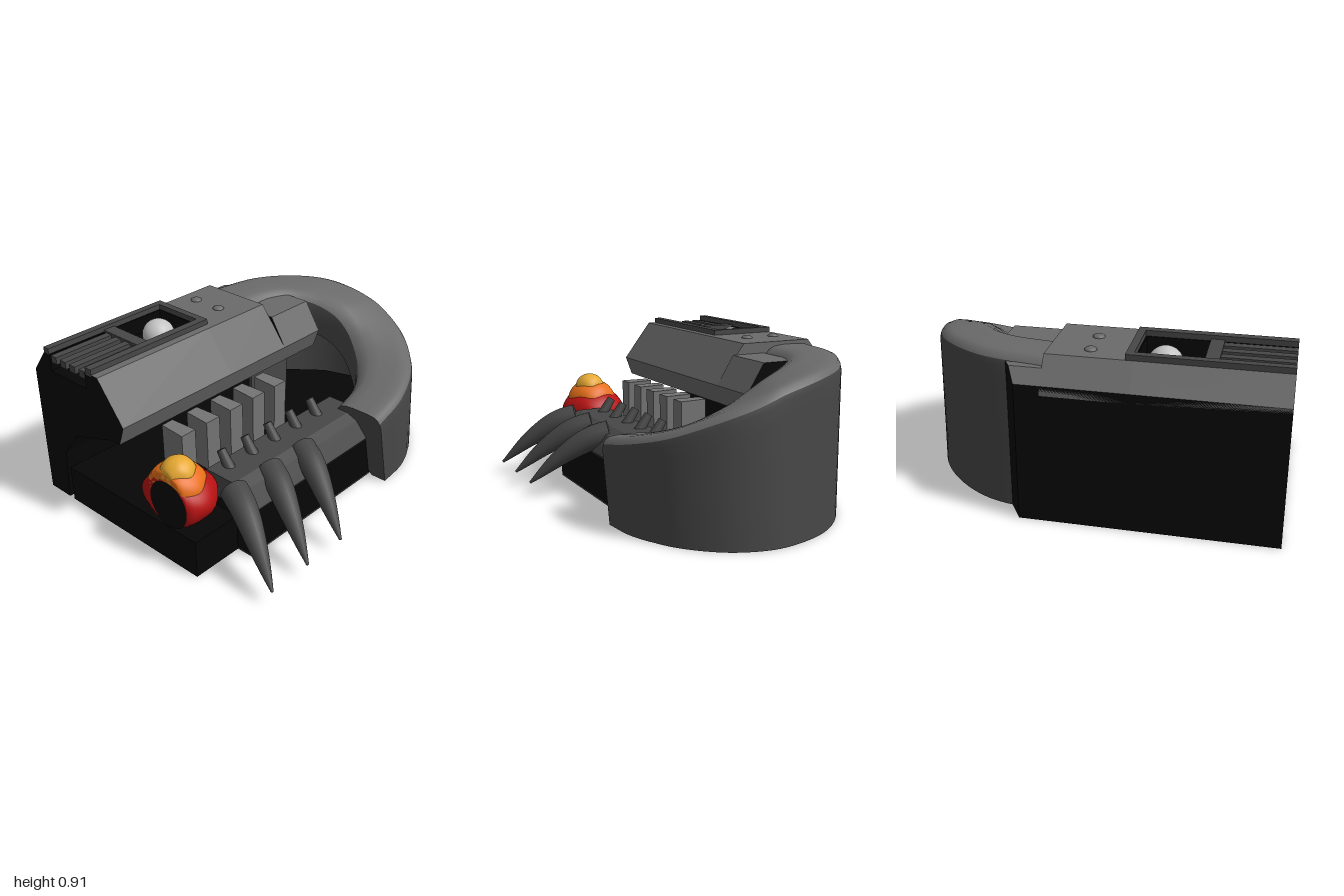
import * as THREE from 'three';

const mat = (name, color, side = THREE.FrontSide) => {
  const m = new THREE.MeshStandardMaterial({ color, side });
  m.name = name;
  return m;
};

export function createModel() {
  const root = new THREE.Group();
  const grey = mat('grey', 0x6a6a6a, THREE.DoubleSide);
  const dark = mat('dark grey', 0x474747, THREE.DoubleSide);
  const tooth = mat('tooth grey', 0x747474);
  const black = mat('black', 0x060606);
  const pale = mat('pale grey', 0xc4c4c4);
  const red = mat('red', 0xb81212);
  const orange = mat('orange', 0xe8701a);
  const yellow = mat('yellow', 0xe6a832);

  const add = (name, geo, material, x = 0, y = 0, z = 0) => {
    const m = new THREE.Mesh(geo, material);
    m.name = name;
    m.position.set(x, y, z);
    root.add(m);
    return m;
  };
  // box given by its limits
  const box = (name, material, x0, x1, y0, y1, z0, z1) =>
    add(name, new THREE.BoxGeometry(x1 - x0, y1 - y0, z1 - z0), material,
      (x0 + x1) / 2, (y0 + y1) / 2, (z0 + z1) / 2);
  // extrude a [z, y] profile along x
  const along = (profile, x0, x1) => {
    const s = new THREE.Shape(profile.map(([z, y]) => new THREE.Vector2(-z, y)));
    const g = new THREE.ExtrudeGeometry(s, { depth: x1 - x0, bevelEnabled: false });
    return g.rotateY(Math.PI / 2).translate(x0, 0, 0);
  };
  // raise an [x, z] plan from the ground
  const raise = (plan, height) => {
    const s = new THREE.Shape(plan.map(([x, z]) => new THREE.Vector2(x, -z)));
    return new THREE.ExtrudeGeometry(s, { depth: height, bevelEnabled: false }).rotateX(-Math.PI / 2);
  };

  // upper housing in three lengths, the first with an open channel
  const front = [[-0.1, 0.66], [-0.14, 0.55]];
  const under = [...front, [-0.7, 0.55], [-0.8, 0.7], [-0.8, 0.75]];
  add('channelHousing', along([...under, [-0.7, 0.88], [-0.66, 0.88], [-0.66, 0.78],
    [-0.36, 0.78], [-0.36, 0.88], [-0.27, 0.88]], -1, -0.24), [black, grey]);
  add('deckHousing', along([...under, [-0.7, 0.88], [-0.27, 0.88]], -0.24, 0.2), grey);
  add('steppedHousing', along([...front, [-0.4, 0.55], [-0.4, 0.82], [-0.2, 0.82]], 0.2, 0.51),
    [black, grey]);

  // rear bevel beyond the deck, with its far end cut at an angle
  const bevel = along([[-0.8, 0.75], [-0.74, 0.82], [-0.69, 0.82], [-0.69, 0.75]], 0.2, 0.4);
  const bp = bevel.attributes.position;
  for (let i = 0; i < bp.count; i++) {
    if (bp.getX(i) > 0.3) bp.setX(i, 0.33 + (bp.getZ(i) + 0.8) * 0.64);
  }
  bevel.computeVertexNormals();
  add('rearBevel', bevel, [black, grey]);

  // rear wall and throat
  add('rearWall', raise([[-1, -0.8], [0.33, -0.8], [0.4, -0.69], [0.4, -0.64], [-1, -0.64]], 0.75), black);
  add('throat', along([[-0.66, 0.02], [-0.64, 0.02], [-0.62, 0.3], [-0.5, 0.45], [-0.2, 0.55],
    [-0.66, 0.6]], -1, 0.4), black);
  box('innerPanel', dark, 0.13, 0.45, 0.2, 0.52, -0.32, -0.3);

  // channel lining, rim, grille bars and lamp
  box('channelFloor', black, -1, -0.24, 0.78, 0.786, -0.66, -0.36);
  for (const z of [-0.66, -0.366]) box('channelLining', black, -1, -0.24, 0.78, 0.88, z, z + 0.006);
  box('channelLining', black, -0.246, -0.24, 0.78, 0.88, -0.66, -0.36);
  box('channelRim', dark, -1, -0.2, 0.87, 0.91, -0.7, -0.66);
  box('channelRim', dark, -1, -0.2, 0.87, 0.91, -0.36, -0.315);
  box('channelRim', dark, -0.24, -0.2, 0.87, 0.91, -0.66, -0.36);
  box('channelDivider', dark, -0.64, -0.57, 0.78, 0.89, -0.66, -0.36);
  for (let i = 0; i < 4; i++) {
    const z = -0.62 + i * 0.076;
    box('grilleBar', dark, -1, -0.64, 0.84, 0.88, z - 0.022, z + 0.022);
  }
  add('lamp', new THREE.SphereGeometry(0.09, 32, 20), pale, -0.37, 0.81, -0.53);
  for (const z of [-0.6, -0.42]) {
    add('bolt', new THREE.SphereGeometry(0.032, 20, 12).scale(1, 0.5, 1), grey, -0.01, 0.88, z);
  }

  // curved fender swept between an outer and an inner plan curve
  const outer = [[0.2, 0.59], [0.47, 0.56], [0.725, 0.46], [0.91, 0.28], [0.985, 0.11],
    [0.997, -0.04], [0.92, -0.3], [0.765, -0.5], [0.54, -0.65], [0.2, -0.72]];
  const inner = [[0.2, 0.28], [0.4, 0.25], [0.53, 0.17], [0.6, 0.07], [0.62, 0],
    [0.62, -0.08], [0.58, -0.22], [0.5, -0.32], [0.38, -0.38], [0.2, -0.4]];
  const crown = [0.45, 0.5, 0.565, 0.655, 0.72, 0.775, 0.83, 0.85, 0.86, 0.86];
  const curve = pts => new THREE.CatmullRomCurve3(
    pts.map(([x, z], i) => new THREE.Vector3(x, crown[i], z)));
  const co = curve(outer), ci = curve(inner);
  // [fraction inward, drop below the crown]; null reaches the ground
  const section = [[0.3, null], [0, null], [0, 0.3], [0, 0.15], [0, 0.07], [0.02, 0.04],
    [0.07, 0.015], [0.16, 0.003], [0.3, 0], [0.6, 0], [0.78, 0.006], [0.9, 0.025], [0.97, 0.055],
    [1, 0.1], [1, 0.16], [1, 0.24]];
  const steps = 54, clamp = THREE.MathUtils.clamp;
  const ring = i => {
    const a = co.getPoint(i / steps), b = ci.getPoint(i / steps);
    return section.flatMap(([t, d]) => {
      const y = d === null ? 0 : a.y - d, k = y / a.y, p = a.clone().lerp(b, t);
      const lean = 0.055 * k * (1 - t) * clamp((p.x - 0.2) / 0.8, 0, 1) * clamp((p.z + 0.45) / 0.4, 0, 1);
      const rake = 0.09 * (1 - k) * Math.max(0, 1 - i / 10);
      return [p.x - lean + rake, y, p.z];
    });
  };
  const rings = Array.from({ length: steps + 1 }, (_, i) => ring(i));
  const surface = (name, pos, idx, m) => {
    const g = new THREE.BufferGeometry();
    g.setAttribute('position', new THREE.Float32BufferAttribute(pos, 3));
    g.setIndex(idx);
    g.computeVertexNormals();
    add(name, g, m);
  };
  // one band of the fender between two section points
  const band = (name, j0, j1, m) => {
    const n = j1 - j0 + 1, idx = [];
    for (let i = 0; i < steps; i++) for (let j = 0; j < n - 1; j++) {
      const q = i * n + j;
      idx.push(q, q + n, q + 1, q + 1, q + n, q + n + 1);
    }
    surface(name, rings.flatMap(r => r.slice(j0 * 3, j1 * 3 + 3)), idx, m);
  };
  band('fenderUnderside', 0, 1, dark);
  band('fenderWall', 1, 5, dark);
  band('fenderTop', 5, 12, grey);
  band('fenderInside', 12, 15, dark);
  const cap = [];
  for (let j = 1; j < section.length - 1; j++) cap.push(0, j, j + 1);
  surface('fenderEnd', rings[0], cap, dark);

  // floor, following the inside of the fender
  add('floor', raise([[-1, -0.6], [0.45, -0.59], [0.66, -0.47], [0.81, -0.28], [0.88, -0.05],
    [0.84, 0.2], [0.67, 0.37], [0.45, 0.46], [0.29, 0.47], [0.29, 0.27],
    [-0.71, 0.27], [-0.71, 0.38], [-1, 0.38]], 0.21), black);

  // front jaw block with its lip
  box('jawBlock', black, -0.71, 0.29, 0.01, 0.27, 0.17, 0.475);
  box('jawUnderside', dark, -0.71, 0.29, 0.002, 0.01, 0.27, 0.475);
  add('jawLip', along([[0.17, 0.26], [0.17, 0.4], [0.36, 0.4], [0.42, 0.37], [0.48, 0.27],
    [0.475, 0.26]], -0.71, 0.29), dark);

  // upper and lower teeth
  for (let i = 0; i < 5; i++) {
    const t = new THREE.BoxGeometry(0.094, 0.29, 0.16);
    const p = t.attributes.position;
    for (let k = 0; k < p.count; k++) {
      if (p.getZ(k) < 0) p.setX(k, p.getX(k) * 0.78);
    }
    t.computeVertexNormals();
    add('upperTooth', t, tooth, -0.7 + i * 0.175, 0.41, -0.04);
    const low = add('lowerTooth', new THREE.CylinderGeometry(0.024, 0.033, 0.13, 18), dark,
      -0.61 + i * 0.175, 0.42, 0.215);
    low.rotation.x = -0.6;
  }

  // curved horns
  const horn = new THREE.CatmullRomCurve3([[-0.715, 0.365, 0.37], [-0.76, 0.33, 0.48],
    [-0.825, 0.235, 0.62], [-0.9, 0.085, 0.785]].map(v => new THREE.Vector3(...v)));
  const segs = 20, sides = 18;
  for (let h = 0; h < 3; h++) {
    const g = new THREE.TubeGeometry(horn, segs, 1, sides, false);
    const p = g.attributes.position, v = new THREE.Vector3();
    for (let i = 0; i < p.count; i++) {
      const u = Math.floor(i / (sides + 1)) / segs, c = horn.getPointAt(u);
      v.fromBufferAttribute(p, i).sub(c).multiplyScalar(0.008 + 0.066 * (1 - Math.pow(u, 1.8)));
      p.setXYZ(i, c.x + v.x, c.y + v.y, c.z + v.z);
    }
    g.computeVertexNormals();
    add('horn', g, dark, h * 0.26);
    const base = add('hornBase', new THREE.CircleGeometry(0.074, sides), dark,
      -0.715 + h * 0.26, 0.365, 0.37);
    base.lookAt(base.position.clone().sub(horn.getTangentAt(0)));
    const tip = horn.getPointAt(1);
    add('hornTip', new THREE.SphereGeometry(0.009, 10, 8), dark, tip.x + h * 0.26, tip.y, tip.z);
  }

  // layered glowing lump, cut flat at the end
  const lump = (name, m, r, ry, x, y, z) => {
    const g = new THREE.SphereGeometry(r, 36, 24);
    const p = g.attributes.position;
    for (let i = 0; i < p.count; i++) {
      const a = Math.atan2(p.getZ(i), p.getX(i));
      const w = 1 + 0.03 * Math.sin(a * 5) * Math.sin(p.getY(i) / r * 4 + 1);
      p.setXYZ(i, Math.max(-1 - x, p.getX(i) * w), p.getY(i) * ry / r, p.getZ(i) * w);
    }
    g.computeVertexNormals();
    add(name, g, m, x, y, z);
  };
  lump('redLump', red, 0.195, 0.14, -0.91, 0.355, 0.18);
  lump('orangeLump', orange, 0.148, 0.12, -0.92, 0.425, 0.185);
  lump('yellowLump', yellow, 0.09, 0.085, -0.92, 0.5, 0.195);
  add('lumpCut', new THREE.CircleGeometry(0.13, 28).rotateY(-Math.PI / 2), black, -1.001, 0.35, 0.2);

  return root;
}
